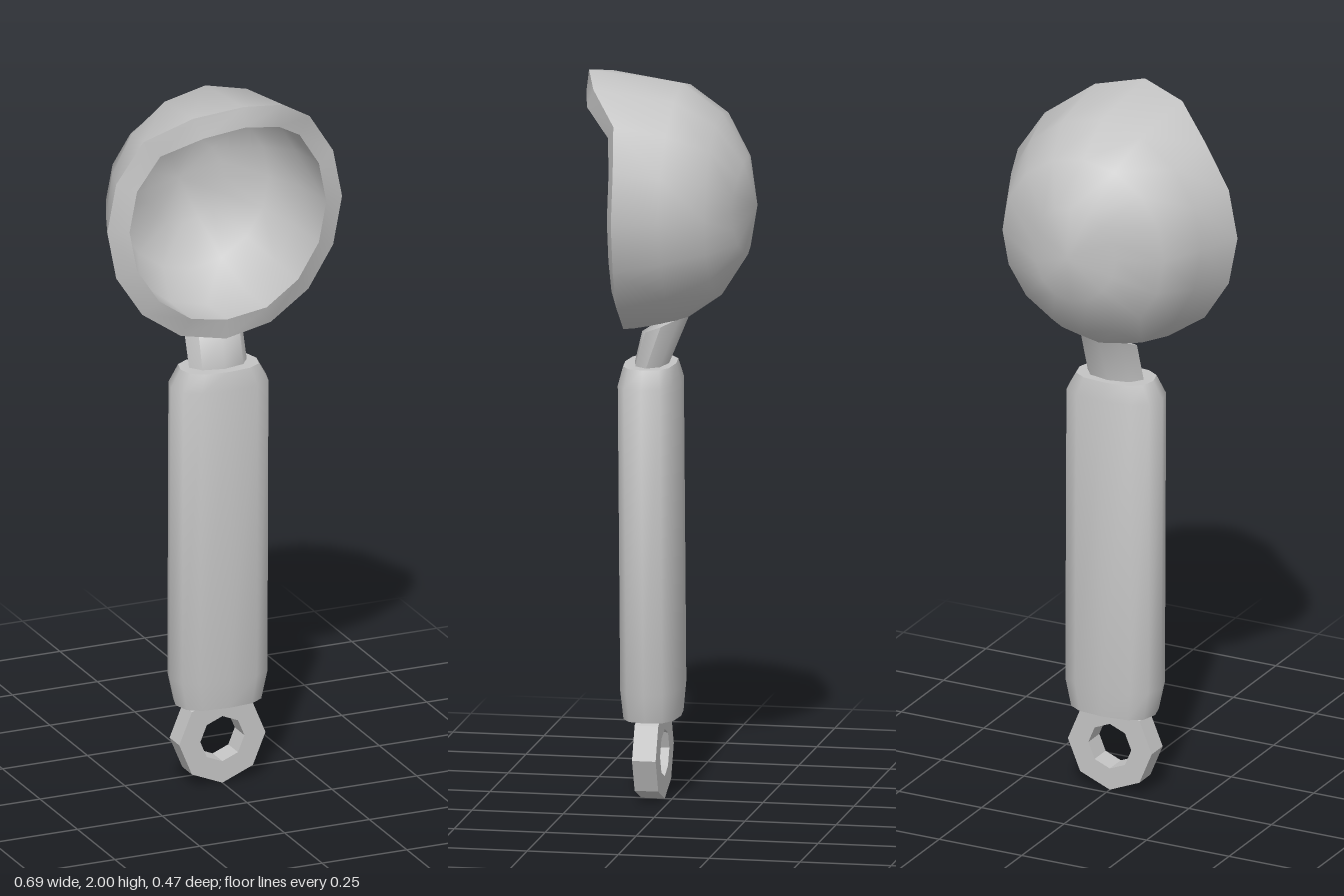
import * as THREE from 'three';
import { toCreasedNormals } from 'three/addons/utils/BufferGeometryUtils.js';

// Skin a stack of equal-length closed rings of [x, y, z] points.
function loft(rings, crease = 0.9) {
  const n = rings[0].length, index = [];
  for (let i = 0; i < rings.length - 1; i++) {
    for (let j = 0; j < n; j++) {
      const k = (j + 1) % n;
      const a = i * n + j, b = i * n + k, c = a + n, d = b + n;
      index.push(a, b, d, a, d, c);
    }
  }
  const geo = new THREE.BufferGeometry();
  geo.setAttribute('position', new THREE.Float32BufferAttribute(rings.flat(2), 3));
  geo.setIndex(index);
  return toCreasedNormals(geo, crease);
}

// Horizontal rounded ring; tilt raises the back (-z) side, power < 1 squares it off.
function ring(n, y, z, rx, rz, tilt = 0, power = 1) {
  return Array.from({ length: n }, (_, j) => {
    const t = (j / n) * Math.PI * 2;
    const soft = (v) => (Math.abs(v) < 1e-6 ? 0 : Math.sign(v) * Math.abs(v) ** power);
    const s = soft(Math.sin(t));
    return [rx * soft(Math.cos(t)), y + tilt * s, z - rz * s];
  });
}

export function createModel() {
  const group = new THREE.Group();
  const metal = new THREE.MeshStandardMaterial({ color: 0xc4c4c4 });
  metal.name = 'grey metal';
  const add = (name, geo) => {
    const mesh = new THREE.Mesh(geo, metal);
    mesh.name = name;
    group.add(mesh);
    return mesh;
  };

  // Bowl: thick hemisphere opening to +z, with the top of the rim pulled forward.
  const N = 16, lip = [0.128, 0.09, 0.013, 0, 0, 0, 0.004, 0.008, 0.01];
  const bowlRing = (step, r, depth, inner) => Array.from({ length: N }, (_, j) => {
    const phi = (j / N) * Math.PI * 2, theta = (step * Math.PI) / 8;
    const fromTop = Math.min((j - 4 + N) % N, (4 - j + N) % N);
    const flat = step % 2 ? 1 - 0.07 * Math.cos(phi) ** 2 : 1;
    let radius = r * Math.cos(theta) * flat;
    let z = 0.1 - depth * Math.sin(theta) * flat;
    if (step === 0) {
      z += lip[fromTop];
      if (inner) {
        radius = 0.29;
        z += Math.abs(fromTop - 4) < 4 ? 0.022 : 0.007;
      }
    }
    if (step === 4) radius = 0;
    return [radius * Math.cos(phi), 1.645 + radius * 1.025 * Math.sin(phi), z];
  });
  const rings = [];
  for (let s = 4; s >= 0; s--) rings.push(bowlRing(s, 0.346, 0.335, false));
  for (let s = 0; s <= 4; s++) rings.push(bowlRing(s, 0.318, 0.305, true));
  add('bowl', loft(rings));

  // Neck: flattened stem leaning back against the underside of the bowl.
  add('neck', loft([
    ring(8, 1.15, 0.055, 0.085, 0.047),
    ring(8, 1.2, 0.055, 0.085, 0.047),
    ring(8, 1.315, 0.015, 0.085, 0.067, 0.03),
    ring(8, 1.33, 0.015, 0, 0),
  ]));

  // Handle grip with tapered ends.
  const grip = [
    [0.23, 0, 0], [0.23, 0.122, 0.076], [0.31, 0.14, 0.083],
    [1.15, 0.14, 0.083], [1.2, 0.112, 0.07], [1.2, 0, 0],
  ];
  add('handle', loft(grip.map(([y, rx, rz]) =>
    ring(12, y, 0.049 + 0.008 * y, rx, rz, 0, 0.75))));

  // Hanging loop: octagonal ring.
  const octagon = (r) => Array.from({ length: 8 }, (_, i) =>
    new THREE.Vector2(r * Math.cos((i * Math.PI) / 4), r * Math.sin((i * Math.PI) / 4)));
  const shape = new THREE.Shape(octagon(0.127));
  shape.holes.push(new THREE.Path(octagon(0.065).reverse()));
  const loop = add('hangingLoop', new THREE.ExtrudeGeometry(shape, { depth: 0.065, bevelEnabled: false }));
  loop.position.set(0, 0.127, 0.02);

  return group;
}
